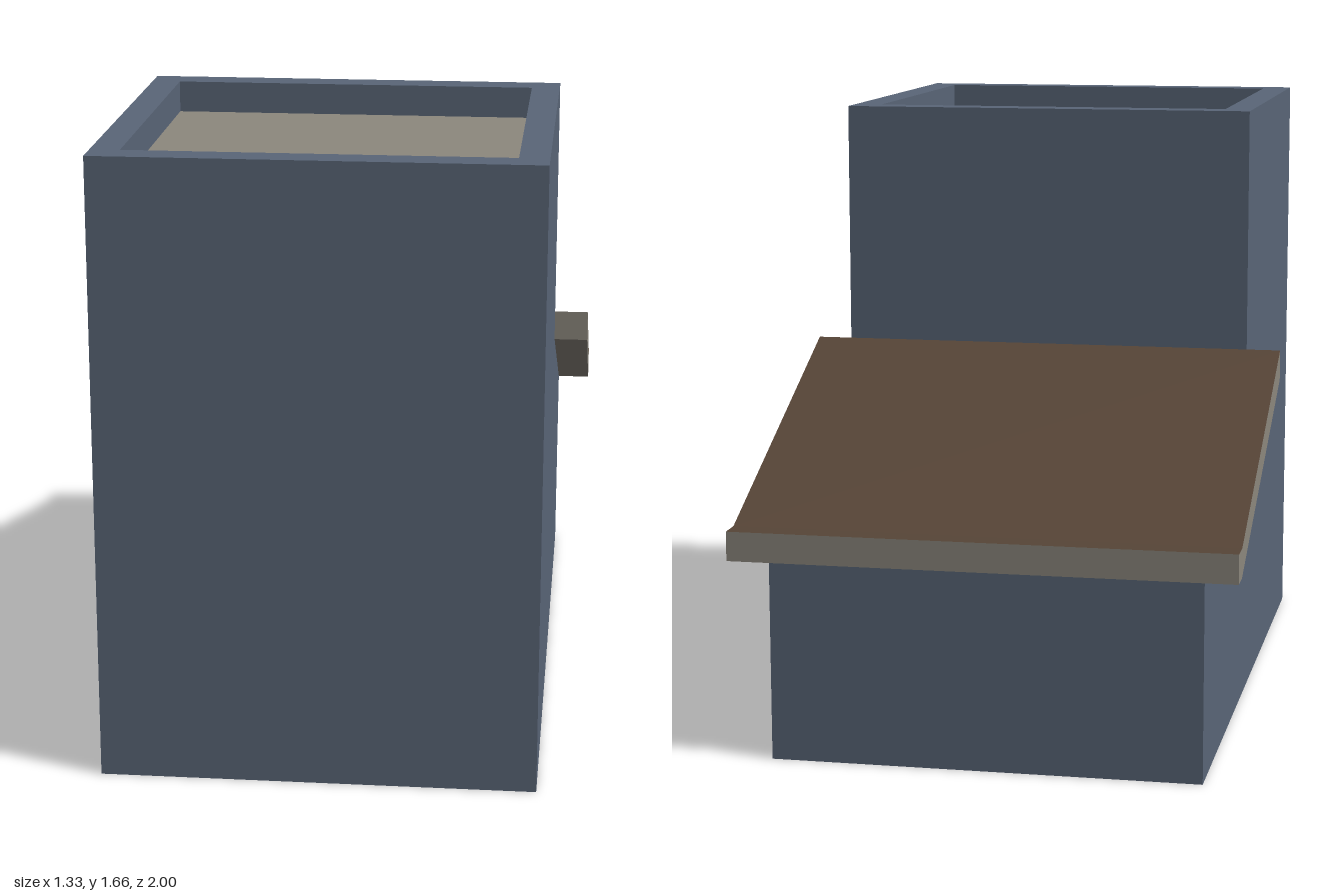
import * as THREE from 'three';

const material = (name, color) => {
  const m = new THREE.MeshStandardMaterial({ color, side: THREE.DoubleSide });
  m.name = name;
  return m;
};

// Sweeps a [z, y] path across x; the path runs front, over the top, to the back
function strip(points, halfWidth) {
  const pos = [];
  for (let i = 0; i < points.length - 1; i++) {
    const [az, ay] = points[i], [bz, by] = points[i + 1];
    const a = [-halfWidth, ay, az], b = [halfWidth, ay, az];
    const c = [halfWidth, by, bz], d = [-halfWidth, by, bz];
    pos.push(...a, ...b, ...c, ...a, ...c, ...d);
  }
  const g = new THREE.BufferGeometry();
  g.setAttribute('position', new THREE.Float32BufferAttribute(pos, 3));
  g.computeVertexNormals();
  return g;
}

// Flat [z, y] profile at the given x, facing left (+1) or right (-1)
function sideFace(points, x, facing) {
  const shape = new THREE.Shape(points.map(([z, y]) => new THREE.Vector2(-facing * z, y)));
  return new THREE.ShapeGeometry(shape).rotateY(facing * Math.PI / 2).translate(x, 0, 0);
}

export function createModel() {
  const wall = material('slate wall', 0x5a6678);
  const stone = material('taupe trim', 0x8d887e);
  const tile = material('brown roofing', 0x574537);

  const model = new THREE.Group();
  model.name = 'building';
  const add = (parent, name, geometry, mat) => {
    const mesh = new THREE.Mesh(geometry, mat);
    mesh.name = name;
    parent.add(mesh);
  };
  const group = (name) => {
    const g = new THREE.Group();
    g.name = name;
    model.add(g);
    return g;
  };

  const W = 0.572, IN = 0.495, ROOF = 0.666;   // half widths
  const TOP = 1.66, FLOOR = 1.575;
  const MID = -0.09, BACK = -0.935;
  const F = 0.92, B = -0.01;                   // recess front and back

  // Walls: an open-bottomed tower with a lower rear wing
  const body = group('walls');
  const profile = [[1, 0], [1, TOP], [MID, TOP], [MID, 0.912], [BACK, 0.547], [BACK, 0]];
  add(body, 'frontWall', strip([[1, 0], [1, TOP]], W), wall);
  add(body, 'towerBackWall', strip([[MID, TOP], [MID, 0.912]], W), wall);
  add(body, 'wingBackWall', strip([[BACK, 0.547], [BACK, 0]], W), wall);
  add(body, 'leftWall', sideFace(profile, W, 1), wall);
  add(body, 'rightWall', sideFace(profile, -W, -1), wall);

  // Parapet around a sunken flat roof
  const parapet = group('parapet');
  const rect = (w, z0, z1) => [[-w, -z0], [w, -z0], [w, -z1], [-w, -z1]]
    .map(([x, y]) => new THREE.Vector2(x, y));
  const rim = new THREE.Shape(rect(W, 1, MID));
  rim.holes.push(new THREE.Path(rect(IN, F, B)));
  add(parapet, 'parapetRim', new THREE.ShapeGeometry(rim).rotateX(-Math.PI / 2).translate(0, TOP, 0), wall);
  add(parapet, 'parapetInnerFront', strip([[F, TOP], [F, FLOOR]], IN), wall);
  add(parapet, 'parapetInnerBack', strip([[B, FLOOR], [B, TOP]], IN), wall);
  const inner = [[F, FLOOR], [F, TOP], [B, TOP], [B, FLOOR]];
  add(parapet, 'parapetInnerLeft', sideFace(inner, IN, -1), wall);
  add(parapet, 'parapetInnerRight', sideFace(inner, -IN, 1), wall);
  add(parapet, 'flatRoof', strip([[F, FLOOR], [B, FLOOR]], IN), stone);

  // Sloping rear roof with a short level eave
  const roof = group('slopingRoof');
  const upper = [[MID, 0.995], [BACK, 0.625], [-1, 0.625]];
  const lower = [[-1, 0.547], [BACK, 0.547], [MID, 0.912]];
  add(roof, 'roofing', strip(upper, ROOF), tile);
  add(roof, 'roofTrim', strip([upper[2], ...lower, upper[0]], ROOF), stone);
  for (const s of [1, -1]) {
    add(roof, s > 0 ? 'leftVerge' : 'rightVerge', sideFace([...upper, ...lower], s * ROOF, s), stone);
  }
  return model;
}
